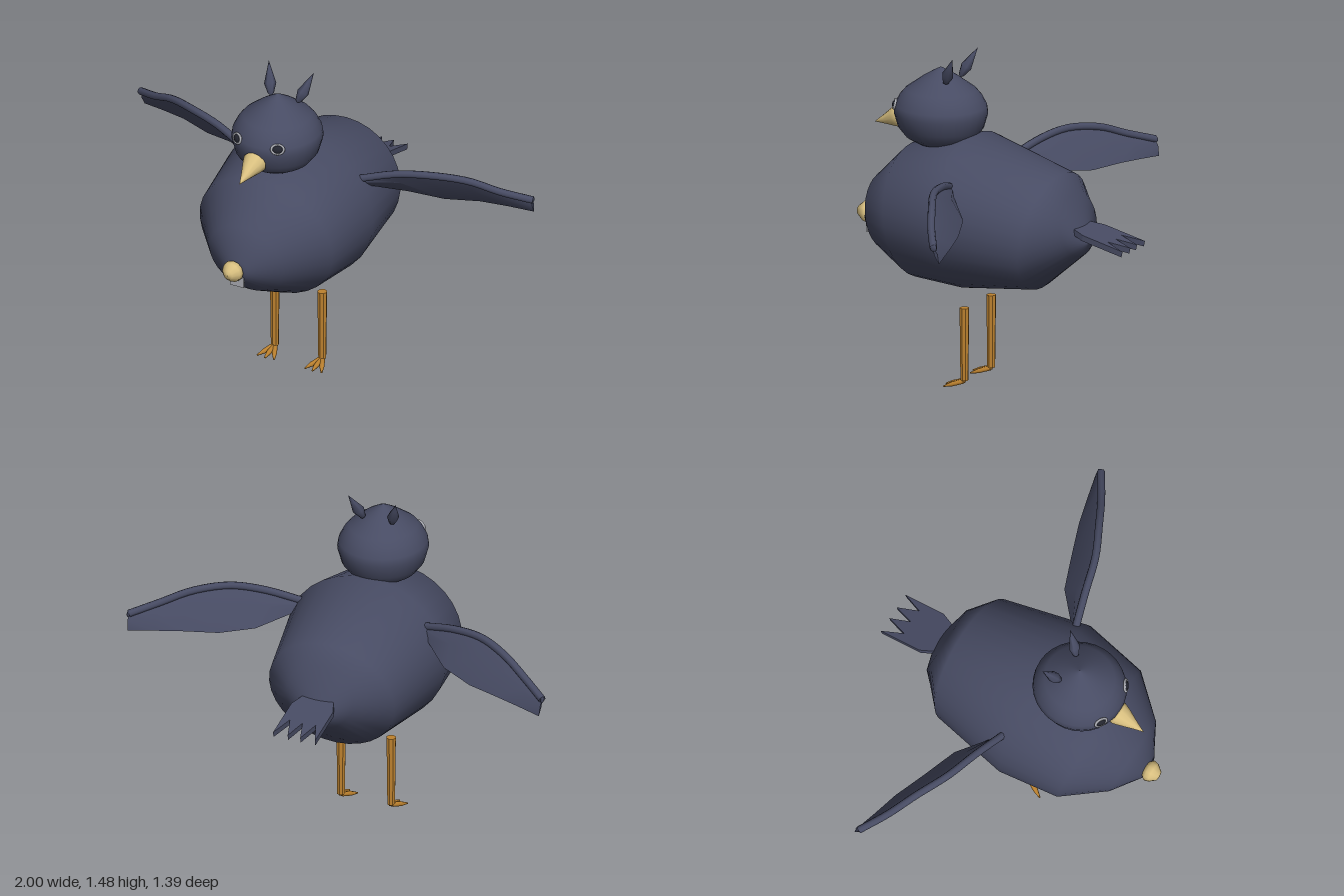
import * as THREE from 'three';
import { toCreasedNormals } from 'three/addons/utils/BufferGeometryUtils.js';

const V = (x, y, z) => new THREE.Vector3(x, y, z);

const material = (name, color, side = THREE.FrontSide) => {
  const m = new THREE.MeshStandardMaterial({ color, side });
  m.name = name;
  return m;
};

function add(parent, name, geometry, mat) {
  const mesh = new THREE.Mesh(geometry, mat);
  mesh.name = name;
  parent.add(mesh);
  return mesh;
}

// Skin over a row of closed rings, with a fan closing each end
function loft(rings) {
  const n = rings[0].length, last = rings.length - 1, index = [];
  const centre = r => r.reduce((s, p) => s.add(p), V(0, 0, 0)).divideScalar(n);
  const points = [...rings.flat(), centre(rings[0]), centre(rings[last])];
  const c0 = rings.length * n, c1 = c0 + 1;
  for (let j = 0; j < n; j++) {
    const k = (j + 1) % n;
    for (let i = 0; i < last; i++) {
      const a = i * n + j, b = i * n + k;
      index.push(a, a + n, b, b, a + n, b + n);
    }
    index.push(c0, j, k, c1, last * n + k, last * n + j);
  }
  const g = new THREE.BufferGeometry().setFromPoints(points);
  g.setIndex(index);
  g.computeVertexNormals();
  return g;
}

// Points a lathe-like geometry (axis +y, base at 0) from one point toward another
function aim(mesh, from, to) {
  mesh.position.copy(from);
  mesh.quaternion.setFromUnitVectors(V(0, 1, 0), to.clone().sub(from).normalize());
  return mesh;
}

const lathe = (profile, sides) =>
  new THREE.LatheGeometry(profile.map(p => new THREE.Vector2(...p)), sides);

export function createModel() {
  const root = new THREE.Group();
  root.name = 'bird';
  const plumage = material('slate plumage', 0x474b63, THREE.DoubleSide);
  const horn = material('pale horn', 0xd9c080);
  const orange = material('orange leg', 0xbd822f);
  const grey = material('eye grey', 0xa9abb2, THREE.DoubleSide);
  const dark = material('pupil dark', 0x23252f);

  // Body: tilted rings as [top z, top y, bottom z, bottom y, half width]
  const bodyRings = [
    [0.625, 0.74, 0.63, 0.64, 0.055],
    [0.58, 0.88, 0.52, 0.545, 0.185],
    [0.42, 1.04, 0.33, 0.45, 0.335],
    [0.1, 1.125, 0.09, 0.435, 0.38],
    [-0.33, 1.0, -0.235, 0.47, 0.3],
    [-0.39, 0.92, -0.44, 0.645, 0.16],
    [-0.462, 0.73, -0.466, 0.7, 0.02],
  ].map(([tz, ty, bz, by, w]) => Array.from({ length: 32 }, (_, j) => {
    const a = j / 32 * Math.PI * 2, t = (Math.sin(a) + 1) / 2;
    return V(Math.cos(a) * w, by + (ty - by) * t, bz + (tz - bz) * t);
  }));
  add(root, 'body', loft(bodyRings), plumage);

  // Head: rounded with a pointed crown
  const head = add(root, 'head', lathe([
    [0, 1.06], [0.1, 1.062], [0.15, 1.093], [0.182, 1.135], [0.2, 1.2], [0.195, 1.235],
    [0.175, 1.275], [0.15, 1.305], [0.08, 1.358], [0.03, 1.39], [0, 1.406],
  ], 32), plumage);
  head.position.z = 0.275;
  head.scale.z = 1.05;

  // Beak
  const beak = add(root, 'beak', lathe([
    [0, 0], [0.045, 0], [0.055, 0.02], [0.045, 0.05], [0.022, 0.105], [0, 0.162]], 12), horn);
  aim(beak, V(0, 1.163, 0.455), V(0, 1.11, 0.605));

  // Chest knob and the patch below it
  const knob = add(root, 'chestKnob', lathe([
    [0, 0], [0.03, 0.002], [0.05, 0.025], [0.045, 0.045], [0.022, 0.073], [0, 0.078]], 12), horn);
  aim(knob, V(-0.01, 0.692, 0.618), V(-0.01, 0.692, 0.7));
  const patch = add(root, 'chestPatch', new THREE.BoxGeometry(0.07, 0.05, 0.006), grey);
  patch.position.set(0, 0.637, 0.628);

  // Tail: flat fan with four pointed feathers
  const fan = new THREE.Shape([
    [-0.075, 0], [-0.1, 0.06], [-0.1, 0.265], [-0.062, 0.165], [-0.03, 0.265], [0, 0.17],
    [0.03, 0.265], [0.062, 0.165], [0.1, 0.265], [0.1, 0.06], [0.075, 0],
  ].map(p => new THREE.Vector2(...p)));
  const tail = add(root, 'tail',
    new THREE.ExtrudeGeometry(fan, { depth: 0.026, bevelEnabled: false }), plumage);
  tail.rotation.x = -Math.PI / 2 - 0.23;
  tail.position.set(0, 0.757, -0.43);

  // Wing: leading and trailing edge stations, root to tip
  const lead = [V(0.3, 0.965, 0.065), V(0.45, 1.005, 0.02), V(0.6, 1.018, -0.025),
    V(0.75, 0.995, -0.1), V(0.87, 0.945, -0.165), V(0.99, 0.9, -0.243)];
  const trail = [V(0.31, 0.92, 0.035), V(0.45, 0.868, -0.09), V(0.6, 0.842, -0.15),
    V(0.75, 0.845, -0.205), V(0.87, 0.838, -0.238), V(0.985, 0.828, -0.268)];
  const wingRings = lead.map((l, i) => {
    const d = trail[i].clone().sub(l);
    const n = V(0, d.y, -d.z).normalize();
    const n2 = V(0, n.z * -1, -n.y).multiplyScalar(0.009);
    const mid = l.clone().lerp(trail[i], 0.4);
    return [mid.clone().add(n2), l, mid.clone().sub(n2), trail[i]];
  });
  const wingGeometry = toCreasedNormals(loft(wingRings), 0.6);
  const edgeGeometry = new THREE.TubeGeometry(new THREE.CatmullRomCurve3(lead), 20, 0.017, 8);
  const capGeometry = new THREE.SphereGeometry(0.017, 8, 6);

  const tuftGeometry = lathe([[0, 0], [0.013, 0.01], [0.027, 0.055], [0.012, 0.11], [0, 0.155]], 6);
  const legGeometry = toCreasedNormals(new THREE.CylinderGeometry(0.022, 0.018, 0.33, 8), 0.6);
  const toeGeometry = lathe([[0, 0], [0.012, 0], [0.011, 0.05], [0.003, 0.09]], 6);

  for (const [side, s] of [['left', 1], ['right', -1]]) {
    const wing = new THREE.Group();
    wing.name = side + 'Wing';
    wing.scale.x = s;
    root.add(wing);
    add(wing, 'wingBlade', wingGeometry, plumage);
    add(wing, 'wingLeadingEdge', edgeGeometry, plumage);
    for (const end of [lead[0], lead[5]]) {
      const cap = add(wing, 'wingEdgeEnd', capGeometry, plumage);
      cap.position.copy(end);
      cap.scale.x = 0.4;
    }

    // Ear-like feather tuft
    const tuft = add(root, side + 'Tuft', tuftGeometry, plumage);
    aim(tuft, V(s * 0.066, 1.35, 0.217), V(s * 0.115, 1.485, 0.152));

    // Eye: pale rim around a dark pupil
    const eye = new THREE.Group();
    eye.name = side + 'Eye';
    eye.position.set(s * 0.102, 1.237, 0.45);
    eye.rotation.set(-0.25, s * 0.5, 0, 'YXZ');
    root.add(eye);
    const rim = add(eye, 'eyeRim', new THREE.TorusGeometry(0.027, 0.006, 6, 20), grey);
    rim.scale.y = 0.8;
    add(eye, 'pupil', new THREE.SphereGeometry(0.023, 16, 10), dark).scale.set(1, 0.8, 0.5);

    // Leg with three forward toes
    const leg = new THREE.Group();
    leg.name = side + 'Leg';
    leg.position.set(s * 0.12, 0, 0.09);
    root.add(leg);
    add(leg, 'shank', legGeometry, orange).position.y = 0.197;
    for (const t of [-1, 0, 1]) {
      aim(add(leg, 'toe', toeGeometry, orange), V(t * 0.004, 0.028, 0.005),
        V(t * 0.042, 0.004, t ? 0.08 : 0.095));
    }
  }
  return root;
}
